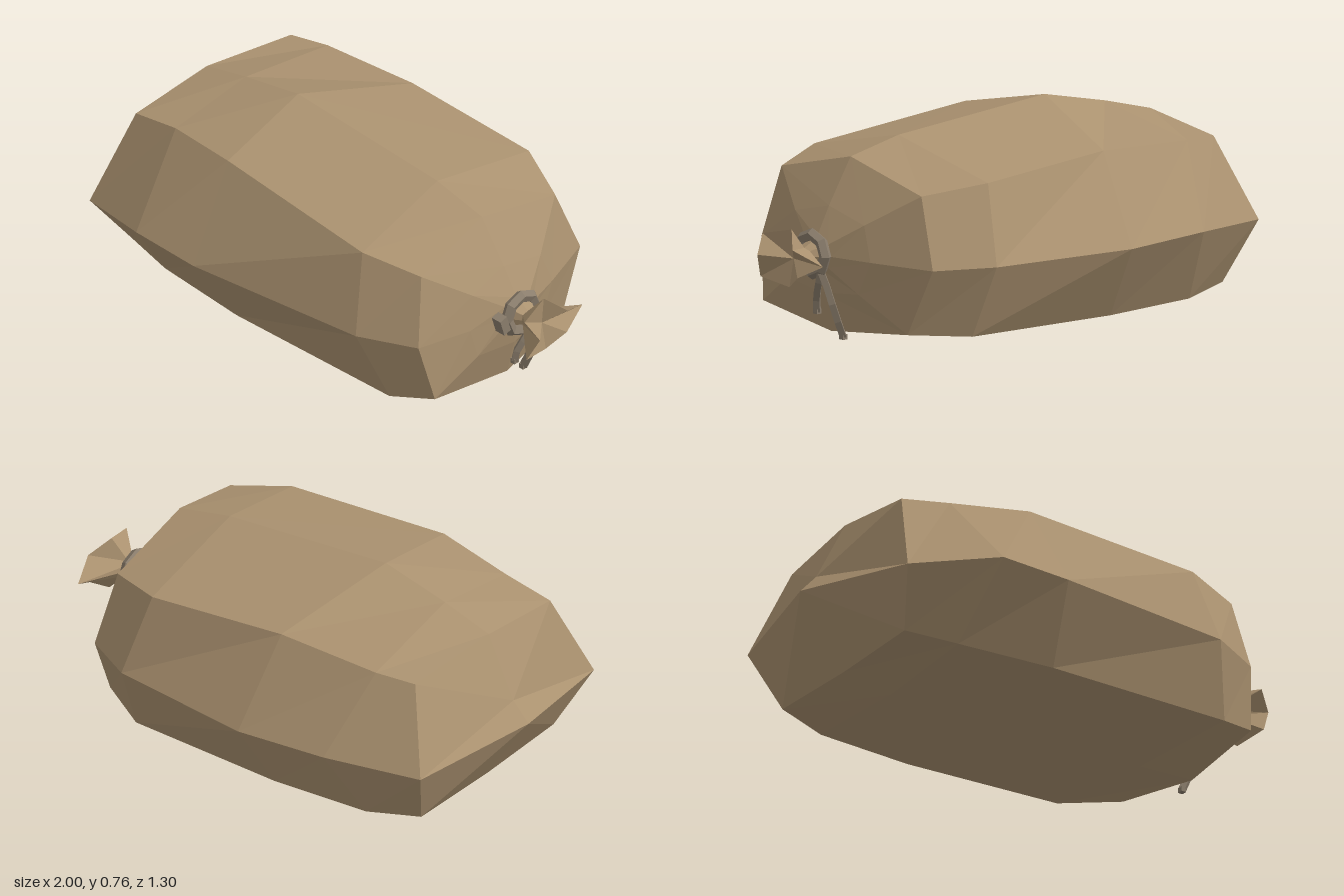
import * as THREE from 'three';

const V = (p) => new THREE.Vector3(...p);

// Cross-sections of the filled sack, closed end to mouth.
// Order: top, upper front, front, lower front, bottom, lower back, back, upper back.
const SECTIONS = [
  [[-0.81, 0.645, 0.01], [-0.81, 0.61, 0.38], [-0.89, 0.265, 0.54], [-0.81, 0.07, 0.4],
    [-0.81, 0.055, 0], [-0.81, 0.06, -0.4], [-0.89, 0.3, -0.51], [-0.775, 0.61, -0.39]],
  [[-0.6, 0.7, 0.02], [-0.6, 0.645, 0.385], [-0.54, 0.34, 0.65], [-0.6, 0.055, 0.44],
    [-0.6, 0.02, 0], [-0.6, 0.035, -0.46], [-0.53, 0.32, -0.625], [-0.62, 0.62, -0.425]],
  [[-0.32, 0.76, 0.03], [-0.28, 0.675, 0.435], [-0.25, 0.325, 0.645], [-0.2, 0.05, 0.47],
    [-0.2, 0.015, 0], [-0.2, 0.03, -0.485], [-0.16, 0.31, -0.655], [-0.2, 0.64, -0.445]],
  [[0.39, 0.705, 0.02], [0.43, 0.61, 0.45], [0.49, 0.315, 0.545], [0.57, 0.045, 0.45],
    [0.5, 0.015, 0], [0.45, 0.035, -0.47], [0.43, 0.31, -0.585], [0.375, 0.6, -0.47]],
  [[0.62, 0.655, 0.02], [0.655, 0.57, 0.37], [0.7, 0.305, 0.43], [0.735, 0.075, 0.38],
    [0.73, 0.02, 0], [0.66, 0.05, -0.35], [0.64, 0.305, -0.47], [0.61, 0.565, -0.37]],
].map((ring) => ring.map(V));

// Star-shaped rim of the gathered cloth beyond the cord
const RIM = [[0.92, 0.425, 0], [0.95, 0.395, 0.13], [1, 0.325, 0.1], [0.96, 0.235, 0.13],
  [0.93, 0.21, 0], [0.96, 0.26, -0.08], [0.93, 0.315, -0.19], [0.975, 0.365, -0.07]].map(V);

// Shrink a section toward the mouth axis, with separate amounts along and across it
function gather(ring, along, across, x = 0.8) {
  return ring.map((p) => new THREE.Vector3(
    THREE.MathUtils.lerp(p.x, x, along),
    THREE.MathUtils.lerp(p.y, 0.318, across),
    THREE.MathUtils.lerp(p.z, 0.01, across)));
}

// Skin consecutive rings with triangles
function loft(rings) {
  const tris = [];
  for (let i = 0; i < rings.length - 1; i++) {
    const r = rings[i], s = rings[i + 1];
    for (let j = 0; j < r.length; j++) {
      const k = (j + 1) % r.length;
      tris.push(r[j], r[k], s[j], r[k], s[k], s[j]);
    }
  }
  return tris;
}

function facets(tris) {
  const g = new THREE.BufferGeometry().setFromPoints(tris);
  g.computeVertexNormals();
  return g;
}

export function createModel() {
  const model = new THREE.Group();
  model.name = 'tiedSack';
  const burlap = new THREE.MeshStandardMaterial({ color: 0xab9270, flatShading: true, side: THREE.DoubleSide });
  burlap.name = 'burlap';
  const rope = new THREE.MeshStandardMaterial({ color: 0x8a7d6c, flatShading: true });
  rope.name = 'rope';
  const add = (name, geometry, material, parent = model) => {
    const mesh = new THREE.Mesh(geometry, material);
    mesh.name = name;
    parent.add(mesh);
    return mesh;
  };

  // Filled body, rounding in to the neck
  const end = SECTIONS[0], last = SECTIONS[4];
  const shoulder = gather(last, 0.6, 0.5);
  const neck = gather(last, 1, 0.83, 0.79);
  add('sackBody', facets(loft([...SECTIONS, shoulder, neck])), burlap);

  // Closed end, pinched to a seam between the two corner ears
  const tip = V([-1, 0.335, 0]), crown = V([-0.93, 0.41, 0]);
  const cap = [crown, tip, end[2], crown, end[6], tip];
  for (let j = 0; j < 8; j++) {
    const lower = j >= 2 && j < 6;
    cap.push(lower ? tip : crown, end[(j + 1) % 8], end[j]);
  }
  add('closedEnd', facets(cap), burlap);

  // Gathered mouth flaring out past the cord
  const waist = gather(last, 1, 0.92, 0.85);
  const mouth = loft([neck, waist, RIM]);
  const core = V([0.91, 0.315, 0]);
  RIM.forEach((p, j) => mouth.push(core, p, RIM[(j + 1) % 8]));
  add('gatheredMouth', facets(mouth), burlap);

  // Cord around the neck with a knot and two hanging tails
  const cord = new THREE.Group();
  cord.name = 'cord';
  model.add(cord);
  const loop = add('cordLoop', new THREE.TorusGeometry(0.073, 0.024, 5, 8), rope, cord);
  loop.rotation.y = Math.PI / 2;
  loop.position.set(0.812, 0.318, 0.01);
  const knot = add('cordKnot', new THREE.BoxGeometry(0.045, 0.07, 0.035), rope, cord);
  knot.position.set(0.81, 0.315, 0.11);
  knot.rotation.x = 0.3;
  const tails = [
    [[0.815, 0.27, -0.035], [0.8, 0.2, -0.06], [0.785, 0.12, -0.08], [0.738, 0.012, -0.077]],
    [[0.815, 0.26, -0.04], [0.81, 0.2, -0.02], [0.795, 0.16, 0.005], [0.785, 0.1, 0.015]],
  ];
  tails.forEach((points, i) => {
    const path = new THREE.CatmullRomCurve3(points.map(V));
    add('cordTail' + (i + 1), new THREE.TubeGeometry(path, 4, 0.017, 4), rope, cord);
    // Blunt tip closing the tail
    const stub = add('cordTailTip' + (i + 1), new THREE.BoxGeometry(0.02, 0.02, 0.024), rope, cord);
    stub.position.copy(V(points[3]));
  });
  return model;
}
